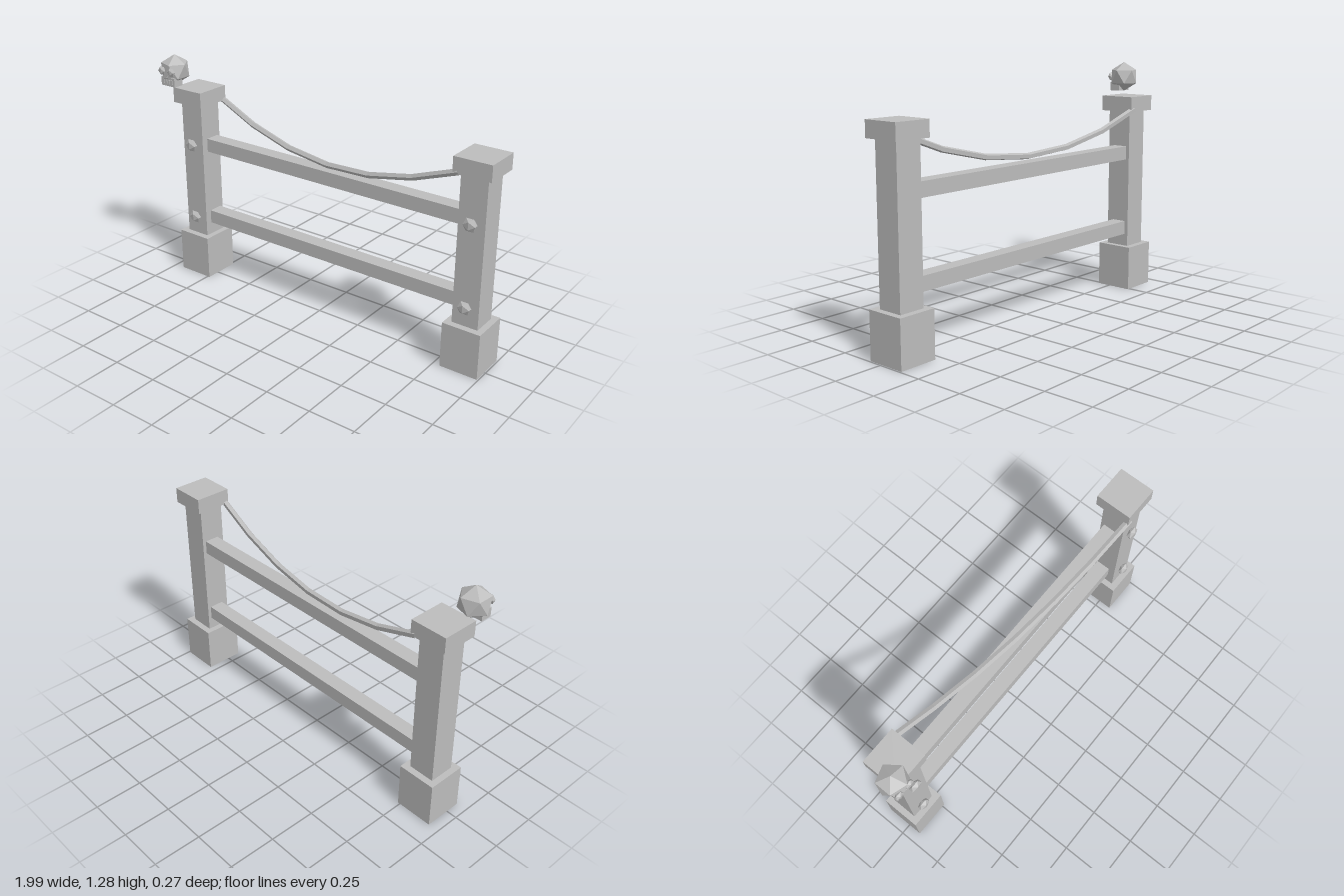
import * as THREE from 'three';

export function createModel() {
  const model = new THREE.Group();
  model.name = 'fence';
  const stone = new THREE.MeshStandardMaterial({ color: 0xbcbcbc, flatShading: true });
  stone.name = 'grey';

  const add = (parent, name, geometry, x, y, z) => {
    const mesh = new THREE.Mesh(geometry, stone);
    mesh.name = name;
    mesh.position.set(x, y, z);
    parent.add(mesh);
    return mesh;
  };
  const box = (parent, name, w, h, d, x, y, z) =>
    add(parent, name, new THREE.BoxGeometry(w, h, d), x, y, z);

  const postX = [-0.84, 0.89];
  const railY = [0.35, 0.782];
  const midX = 0.025, midZ = -0.029;

  // Two posts, each with a footing, a cap and a stud in front of every rail
  for (const x of postX) {
    const post = new THREE.Group();
    post.name = x < 0 ? 'rightPost' : 'leftPost';
    model.add(post);
    box(post, 'footing', 0.205, 0.244, 0.207, x, 0.122, midZ);
    box(post, 'shaft', 0.14, 0.776, 0.137, x, 0.632, midZ);
    box(post, 'cap', 0.197, 0.083, 0.198, x, 1.0585, midZ);
    for (const y of railY) {
      const stud = add(post, 'stud', new THREE.IcosahedronGeometry(0.038), x, y, 0.056);
      stud.scale.z = 0.58;
    }
  }

  // Rails between the posts
  for (const y of railY) box(model, 'rail', 1.6, 0.075, 0.08, midX, y, -0.038);

  // Sagging rope running diagonally from post to post
  const points = [];
  for (let i = 0; i <= 6; i++) {
    const t = i / 3 - 1;
    points.push(new THREE.Vector3(midX + 0.795 * t, 0.844 + 0.184 * t * t, -0.031 + 0.09 * t));
  }
  const rope = new THREE.TubeGeometry(new THREE.CatmullRomCurve3(points), 6, 0.017, 5);
  add(model, 'rope', rope, 0, 0, 0);

  // Skull hovering over the corner of one post
  const skull = new THREE.Group();
  skull.name = 'skull';
  skull.position.set(-0.928, 1.2, 0.057);
  model.add(skull);
  const cranium = add(skull, 'cranium', new THREE.IcosahedronGeometry(0.083), 0, 0, 0);
  cranium.rotation.z = -0.5536;
  box(skull, 'jaw', 0.096, 0.048, 0.06, 0, -0.056, 0.03);
  for (const side of [-1, 1]) {
    const eye = add(skull, 'eye', new THREE.IcosahedronGeometry(0.026), side * 0.033, 0.001, 0.065);
    eye.scale.z = 0.6;
  }
  const nose = add(skull, 'nose', new THREE.ConeGeometry(0.01, 0.018, 3), 0, -0.022, 0.062);
  nose.scale.z = 0.6;
  for (let i = 0; i < 4; i++)
    box(skull, 'tooth', 0.01, 0.022, 0.006, (i - 1.5) * 0.02, -0.056, 0.061);

  return model;
}
